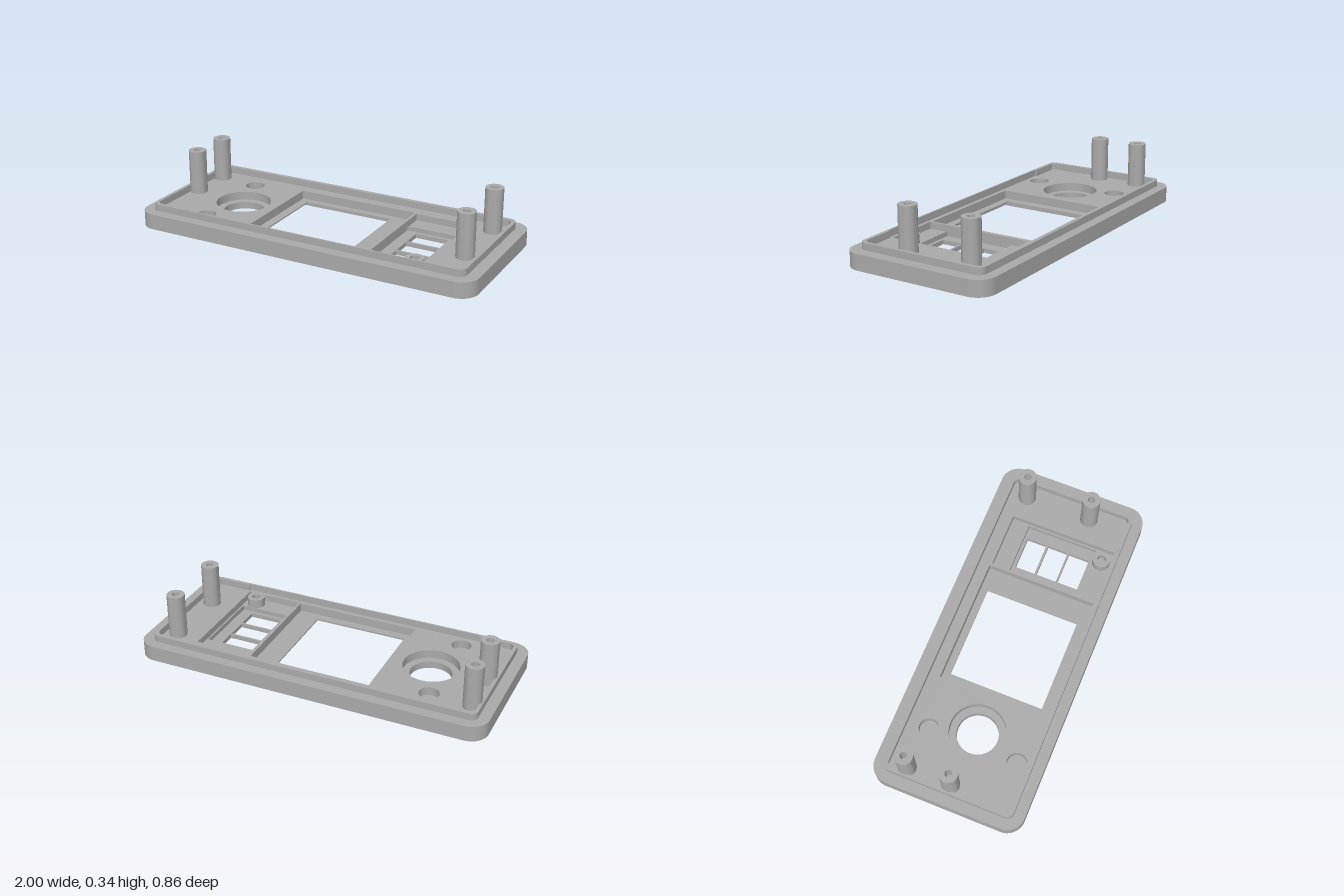
import * as THREE from 'three';
import { toCreasedNormals } from 'three/addons/utils/BufferGeometryUtils.js';

const grey = new THREE.MeshStandardMaterial({ color: 0xaaaaaa });
grey.name = 'grey plastic';

// Plan outlines are given as x and z; the shape's y is -z.
function rect(x0, x1, z0, z1, r = 0) {
  const s = new THREE.Path();
  const a = -z1, b = -z0;
  if (!r) {
    s.moveTo(x0, a).lineTo(x1, a).lineTo(x1, b).lineTo(x0, b).closePath();
    return s;
  }
  s.moveTo(x0 + r, a).lineTo(x1 - r, a);
  s.absarc(x1 - r, a + r, r, -Math.PI / 2, 0);
  s.absarc(x1 - r, b - r, r, 0, Math.PI / 2);
  s.absarc(x0 + r, b - r, r, Math.PI / 2, Math.PI);
  s.absarc(x0 + r, a + r, r, Math.PI, Math.PI * 1.5);
  return s;
}

function circle(x, z, r) {
  return new THREE.Path().absarc(x, -z, r, 0, Math.PI * 2);
}

// Vertical slab from y0 to y1 with through-holes
function slab(name, outline, holes, y0, y1) {
  const shape = new THREE.Shape(outline.getPoints(12));
  shape.holes = holes;
  let geo = new THREE.ExtrudeGeometry(shape, { depth: y1 - y0, bevelEnabled: false, curveSegments: 20 });
  geo.rotateX(-Math.PI / 2);
  geo.translate(0, y0, 0);
  geo = toCreasedNormals(geo, 0.6);
  const mesh = new THREE.Mesh(geo, grey);
  mesh.name = name;
  return mesh;
}

// Hollow-topped screw post
function post(name, x, z, y0, y1, bore) {
  const r = 0.05, b = bore, d = y1 - Math.min(0.12, (y1 - y0) * 0.8);
  const pts = [[r, y0], [r, y1], [b, y1], [b, d], [0, d]].map(p => new THREE.Vector2(...p));
  const mesh = new THREE.Mesh(toCreasedNormals(new THREE.LatheGeometry(pts, 32), 0.6), grey);
  mesh.position.set(x, 0, z);
  mesh.name = name;
  return mesh;
}

export function createModel() {
  const model = new THREE.Group();
  model.name = 'instrumentFacePanel';

  // Face plate, built in levels so that each recess has its own floor
  const plate = new THREE.Group();
  plate.name = 'facePlate';
  model.add(plate);
  const levels = [0, 0.008, 0.016, 0.024, 0.032, 0.04, 0.05, 0.088];
  const slots = [[-0.16, -0.045], [-0.033, 0.085], [0.095, 0.215]];
  for (let i = 0; i < levels.length - 1; i++) {
    const y = levels[i], holes = [];
    const low = y < 0.04;
    // Screen window, stepping outward towards the face, with a recess behind it
    const step = 0.045 * (1 - i / 4);
    if (low) holes.push(rect(-0.3 - step, 0.235 + step, -0.25 - step, 0.29 + step));
    else holes.push(rect(-0.35, 0.365, -0.29, 0.335));
    // Round socket with a counterbore
    holes.push(circle(-0.56, 0.02, low ? 0.115 : 0.155));
    // Blind magnet pockets
    if (!low) for (const z of [-0.23, 0.28]) holes.push(circle(-0.64, z, 0.055));
    // Three button slots inside a two-level recess
    if (y < 0.024) for (const [a, b] of slots) holes.push(rect(0.435, 0.625, a, b));
    else if (y < 0.05) holes.push(rect(0.37, 0.69, -0.18, 0.235));
    else holes.push(rect(0.38, 0.70, -0.28, 0.34));
    plate.add(slab('plateLevel' + (i + 1), rect(-1, 1, -0.43, 0.43, 0.1), holes, y, levels[i + 1]));
  }

  // Raised locating rim, thinner along the middle of the front edge
  const inner = new THREE.Path();
  inner.setFromPoints([
    [-0.90, -0.35], [0.895, -0.35], [0.915, -0.33], [0.915, 0.33], [0.895, 0.35], [0.71, 0.35],
    [0.71, 0.36], [-0.72, 0.36], [-0.72, 0.35], [-0.90, 0.35], [-0.92, 0.33], [-0.92, -0.33],
  ].map(([x, z]) => new THREE.Vector2(x, -z)));
  inner.closePath();
  model.add(slab('locatingRim', rect(-0.94, 0.935, -0.373, 0.37, 0.04), [inner], 0.088, 0.127));

  // Screw posts and the short peg in the button recess
  const spots = [[-0.88, -0.25], [-0.88, 0], [0.84, -0.25], [0.84, 0.13]];
  spots.forEach(([x, z], i) => model.add(post('screwPost' + (i + 1), x, z, 0.088, 0.34, 0.02)));
  model.add(post('buttonBoardPeg', 0.63, 0.285, 0.05, 0.1, 0.025));
  return model;
}
